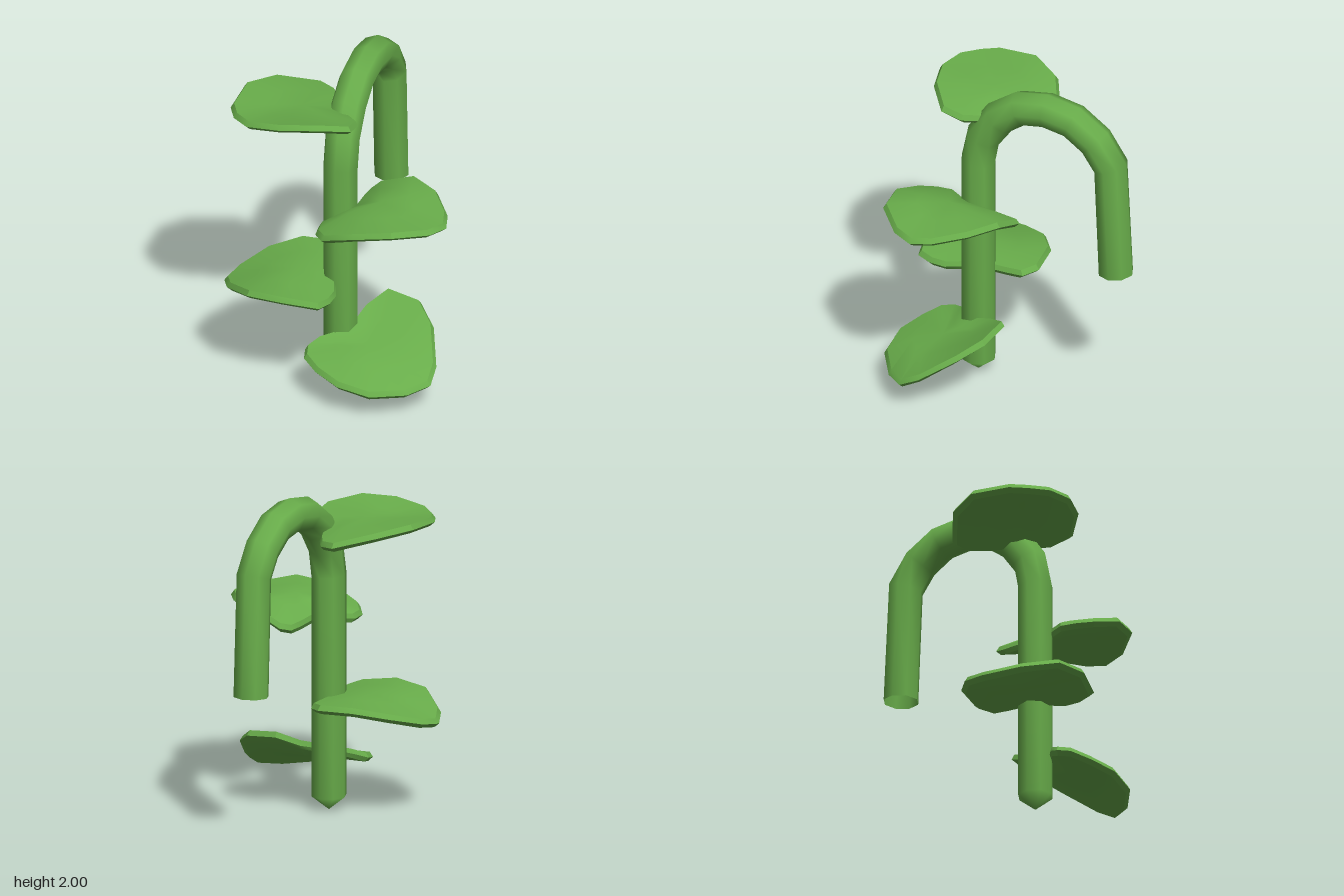
import * as THREE from 'three';
import { toCreasedNormals } from 'three/addons/utils/BufferGeometryUtils.js';

const green = new THREE.MeshStandardMaterial({ color: 0x68ac4a, side: THREE.DoubleSide });
green.name = 'leaf green';

function makeGeometry(positions, index) {
  const g = new THREE.BufferGeometry();
  g.setAttribute('position', new THREE.Float32BufferAttribute(positions, 3));
  g.setIndex(index);
  return g;
}

// Joins consecutive rings of n vertices, outward facing
function joinRings(rings, n) {
  const index = [];
  for (let i = 0; i < rings - 1; i++) {
    for (let j = 0; j < n; j++) {
      const a = i * n + j, b = i * n + (j + 1) % n;
      index.push(a, b, a + n, b, b + n, a + n);
    }
  }
  return index;
}

// Eight-sided stem swept along a path of [z, y, radius]
function createStem() {
  const path = [
    [0.27, 0.005, 0], [0.27, 0.09, 0.106], [0.27, 1.44, 0.106], [0.235, 1.615, 0.106],
    [0.13, 1.765, 0.106], [-0.01, 1.865, 0.106], [-0.18, 1.895, 0.106], [-0.35, 1.865, 0.106],
    [-0.495, 1.765, 0.106], [-0.592, 1.62, 0.106], [-0.625, 0.9, 0.106],
  ];
  const sides = 8, positions = [];
  path.forEach(([z, y, r], i) => {
    const dir = (a, b) => new THREE.Vector2(b[0] - a[0], b[1] - a[1]).normalize();
    const t = new THREE.Vector2();
    if (i > 0) t.add(dir(path[i - 1], path[i]));
    if (i < path.length - 1) t.add(dir(path[i], path[i + 1]));
    t.normalize();
    for (let j = 0; j < sides; j++) {
      const a = (j / sides) * Math.PI * 2;
      const s = r * Math.sin(a);
      positions.push(r * Math.cos(a) - 0.007, y + s * t.x, z - s * t.y);
    }
  });
  const g = makeGeometry(positions, joinRings(path.length, sides));
  g.computeVertexNormals();
  return g;
}

// Thick leaf with a bevelled rim from an outline of [x, z, top y]
function createLeaf(outline, centreY) {
  const pts = outline.map(([x, z, y]) => ({ x, z, y }));
  if (THREE.ShapeUtils.area(pts.map((p) => new THREE.Vector2(p.x, p.z))) > 0) pts.reverse();
  const n = pts.length;
  const cx = pts.reduce((s, p) => s + p.x, 0) / n;
  const cz = pts.reduce((s, p) => s + p.z, 0) / n;
  // Each ring: scale about the centre, drop below the top surface
  const rings = [[0, 0.055], [0.5, 0.055], [0.93, 0.055], [1, 0.03], [0.95, 0], [0.5, 0], [0, 0]];
  const positions = [];
  for (const [k, drop] of rings) {
    const blend = k > 0.9 ? 1 : k * k * 1.4;
    for (const p of pts) {
      positions.push(cx + (p.x - cx) * k, centreY + (p.y - centreY) * blend - drop, cz + (p.z - cz) * k);
    }
  }
  // Skip the collapsed triangles at the two centres
  const all = joinRings(rings.length, n), index = [];
  const last = (rings.length - 1) * n;
  for (let i = 0; i < all.length; i += 3) {
    const tri = all.slice(i, i + 3);
    if (tri.filter((v) => v < n).length < 2 && tri.filter((v) => v >= last).length < 2) index.push(...tri);
  }
  return toCreasedNormals(makeGeometry(positions, index), 0.55);
}

export function createModel() {
  const model = new THREE.Group();
  model.name = 'hookedPlant';
  const add = (name, geometry) => {
    const mesh = new THREE.Mesh(geometry, green);
    mesh.name = name;
    model.add(mesh);
  };

  add('stem', createStem());

  add('topLeaf', createLeaf([
    [-0.27, -0.14, 1.75], [-0.17, -0.1, 1.74], [-0.11, -0.01, 1.745], [-0.04, 0.16, 1.755],
    [0.05, 0.24, 1.77], [0.12, 0.32, 1.79], [0.12, 0.45, 1.82], [-0.05, 0.58, 1.865],
    [-0.26, 0.64, 1.86], [-0.47, 0.62, 1.835], [-0.58, 0.53, 1.825], [-0.635, 0.43, 1.83],
    [-0.635, 0.18, 1.84], [-0.51, -0.01, 1.815],
  ], 1.81));

  // The two middle leaves are near mirror images that droop along x
  const middle = [
    [0.13, -0.065, 1.19], [0.35, -0.04, 1.275], [0.53, 0.08, 1.275], [0.655, 0.26, 1.25],
    [0.69, 0.385, 1.24], [0.63, 0.51, 1.25], [0.45, 0.67, 1.28], [0.22, 0.71, 1.25],
    [0.01, 0.66, 1.175], [-0.06, 0.57, 1.155], [-0.07, 0.47, 1.155], [0.02, 0.35, 1.17],
    [0.08, 0.27, 1.185], [0.08, 0.1, 1.175], [0.09, 0, 1.17],
  ];
  add('upperLeaf', createLeaf(middle, 1.275));
  const droop = (x) => 0.737 - (x < -0.28 ? 0.68 * (x + 0.28) ** 2 : 0.38 * (x + 0.28) ** 2);
  add('lowerLeaf', createLeaf(middle.map(([x, z]) => {
    const mx = x < 0.1 ? -x * 0.5 : -x;
    return [mx, z, droop(mx)];
  }), 0.735));

  add('bottomLeaf', createLeaf([
    [0.2, 0, 0.505], [0.41, 0.03, 0.48], [0.53, 0.15, 0.405], [0.62, 0.36, 0.27],
    [0.625, 0.48, 0.21], [0.52, 0.6, 0.19], [0.33, 0.72, 0.205], [0.13, 0.725, 0.24],
    [-0.03, 0.65, 0.27], [-0.13, 0.57, 0.3], [-0.15, 0.49, 0.315], [-0.1, 0.42, 0.345],
    [0.0, 0.36, 0.37], [0.07, 0.25, 0.4], [0.1, 0.12, 0.44],
  ], 0.325));

  return model;
}
